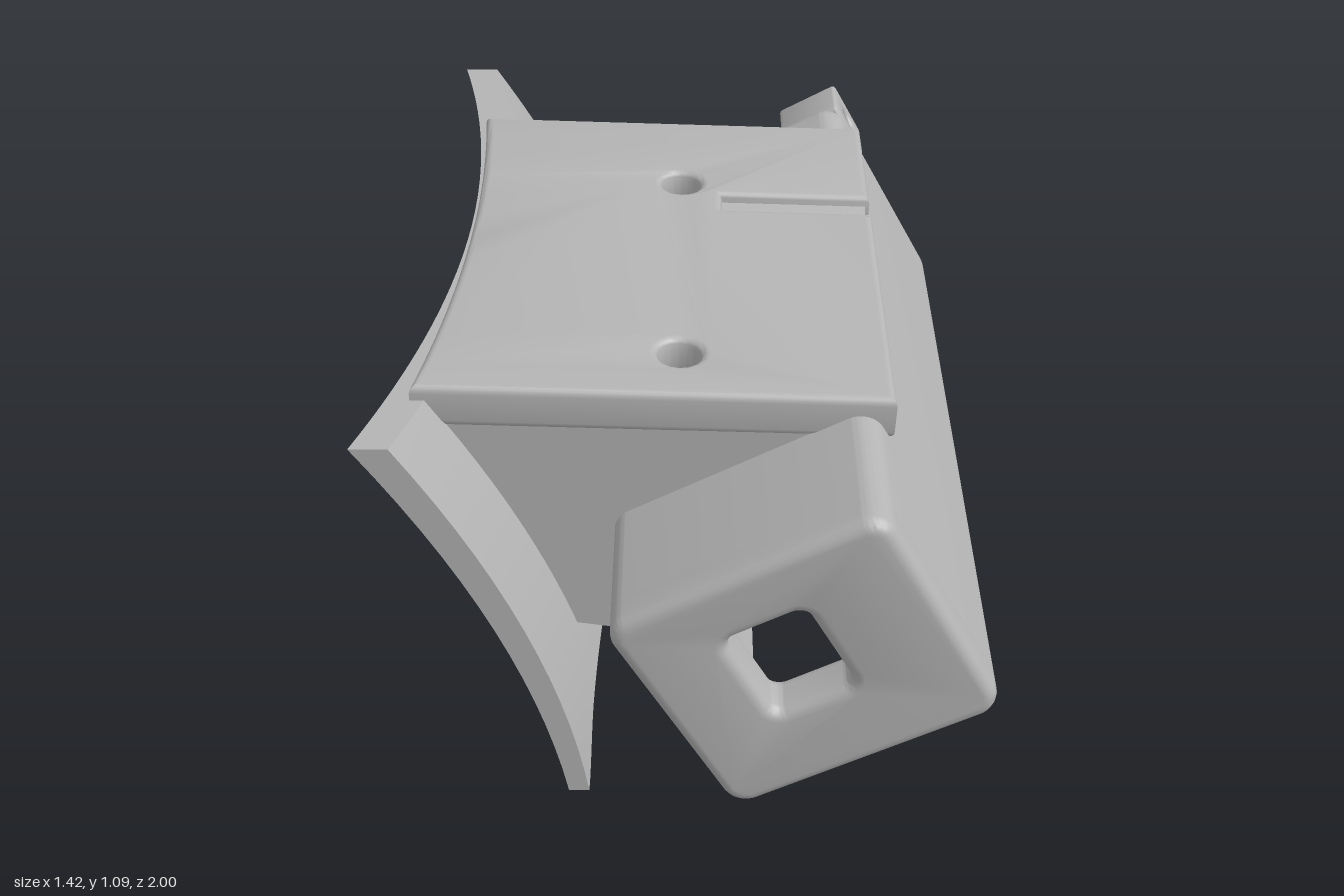
import * as THREE from 'three';
import { toCreasedNormals } from 'three/addons/utils/BufferGeometryUtils.js';

const grey = new THREE.MeshStandardMaterial({ color: 0xb4b4b4, side: THREE.DoubleSide });
grey.name = 'grey plastic';

function add(parent, name, geometry, crease = 0.6) {
  const mesh = new THREE.Mesh(toCreasedNormals(geometry, crease), grey);
  mesh.name = name;
  parent.add(mesh);
  return mesh;
}

// Rounded rectangle centred on (cx, cy)
function roundRect(Type, w, h, r, cx = 0, cy = 0) {
  const s = new Type(), x = w / 2, y = h / 2;
  s.absarc(cx + x - r, cy + y - r, r, 0, Math.PI / 2);
  s.absarc(cx - x + r, cy + y - r, r, Math.PI / 2, Math.PI);
  s.absarc(cx - x + r, cy - y + r, r, Math.PI, Math.PI * 1.5);
  s.absarc(cx + x - r, cy - y + r, r, Math.PI * 1.5, Math.PI * 2);
  s.closePath();
  return s;
}

// Extrusion whose bevel stays inside the outline and the total depth
function bevelled(shape, depth, b) {
  return new THREE.ExtrudeGeometry(shape, {
    depth: depth - 2 * b, bevelThickness: b, bevelSize: b, bevelOffset: -b,
    bevelSegments: 4, curveSegments: 8,
  }).translate(0, 0, b);
}

// Saddle surface of the clamp: slope over height plus bow along the length
const slope = (y) => -0.085 - 0.163 * y - 0.244 * y * y;
const bow = (z) => -0.168 * (z + 0.25) ** 2;

// Curved saddle shell with an arched lower edge
function saddleGeometry() {
  const arch = new THREE.SplineCurve([
    [-1, 0.28], [-0.85, 0.34], [-0.5, 0.41], [-0.1, 0.42], [0.25, 0.38],
    [0.5, 0.3], [0.68, 0.175], [0.8, 0.0],
  ].map(([z, y]) => new THREE.Vector2(z, y)));
  const rows = 36, n = 14, ring = 2 * (n + 1), pos = [], idx = [];
  for (let i = 0; i <= rows; i++) {
    const p = arch.getPoint(i / rows);
    for (let k = 0; k < ring; k++) {
      const inner = k > n, j = inner ? ring - 1 - k : k;
      const y = p.y + (1.05 - p.y) * j / n;
      pos.push(slope(y) + bow(p.x) + (inner ? 0.05 + 0.035 * y : 0), y, p.x);
    }
  }
  for (let i = 0; i < rows; i++) {
    for (let k = 0; k < ring; k++) {
      const a = i * ring + k, b = i * ring + (k + 1) % ring, c = b + ring, d = a + ring;
      idx.push(a, d, c, a, c, b);
    }
  }
  for (let j = 0; j < n; j++) {
    const q = [j, ring - 1 - j, ring - 2 - j, j + 1], e = rows * ring;
    idx.push(e + q[0], e + q[1], e + q[2], e + q[0], e + q[2], e + q[3]);
    idx.push(q[0], q[2], q[1], q[0], q[3], q[2]);
  }
  const g = new THREE.BufferGeometry();
  g.setAttribute('position', new THREE.Float32BufferAttribute(pos, 3));
  g.setIndex(idx);
  return g;
}

// Block joining the saddle to the tray; its left side follows the saddle
function blockGeometry() {
  const pts = [];
  for (let i = 0; i <= 8; i++) {
    const y = 1.0 - 0.61 * i / 8;
    pts.push([slope(y) + 0.04, y]);
  }
  pts.push([0.066, 0.336], [-0.129, 0.691], [0.389, 0.974], [0.42, 0.975]);
  const shape = new THREE.Shape(pts.map(([x, y]) => new THREE.Vector2(x, y)));
  const g = new THREE.ExtrudeGeometry(shape, { depth: 1.26, steps: 16, bevelEnabled: false });
  g.translate(0, 0, -0.645);
  const p = g.attributes.position;
  for (let i = 0; i < p.count; i++) {
    if (p.getX(i) < slope(p.getY(i)) + 0.06) p.setX(i, p.getX(i) + bow(p.getZ(i)));
  }
  return g;
}

// Top plate with two screw holes and a slot open to the right edge
function plateGeometry() {
  const pts = [];
  for (let i = 0; i <= 12; i++) {
    const z = 0.62 - 1.27 * i / 12;
    pts.push([-0.515 + 0.65 * bow(z), z]);
  }
  pts.push([0.485, -0.65], [0.485, -0.265], [0.105, -0.265], [0.105, -0.195],
    [0.485, -0.195], [0.485, 0.62]);
  const shape = new THREE.Shape(pts.map(([x, z]) => new THREE.Vector2(x, z)));
  for (const z of [-0.32, 0.455]) {
    shape.holes.push(new THREE.Path().absarc(0, z, 0.05, 0, Math.PI * 2));
  }
  return bevelled(shape, 0.11, 0.02).rotateX(Math.PI / 2);
}

// V-shaped floor of the slot
function grooveGeometry() {
  const pos = [];
  for (const x of [0.085, 0.475]) {
    pos.push(x, 0, -0.285, x, -0.07, -0.23, x, 0, -0.175);
  }
  const g = new THREE.BufferGeometry();
  g.setAttribute('position', new THREE.Float32BufferAttribute(pos, 3));
  g.setIndex([0, 1, 4, 0, 4, 3, 1, 2, 5, 1, 5, 4]);
  return g;
}

// Three walls of the tray, open below
function wallsShape(w, h, t) {
  const x = w / 2, y = h / 2, r = 0.06, s = new THREE.Shape();
  s.moveTo(-x + t, -y);
  s.lineTo(-x + t, y - t);
  s.lineTo(x - t, y - t);
  s.lineTo(x - t, -y);
  s.quadraticCurveTo(x, -y, x, -y + r);
  s.absarc(x - r, y - r, r, 0, Math.PI / 2);
  s.absarc(-x + r, y - r, r, Math.PI / 2, Math.PI);
  s.lineTo(-x, -y + r);
  s.quadraticCurveTo(-x, -y, -x + t, -y);
  return s;
}

export function createModel() {
  const model = new THREE.Group();
  model.name = 'clampMountedTray';

  add(model, 'saddle', saddleGeometry());
  add(model, 'block', blockGeometry());

  // Slightly sloping top plate
  const top = new THREE.Group();
  top.name = 'topPlate';
  top.position.y = 1.069;
  top.rotation.z = -0.03;
  add(top, 'plate', plateGeometry());
  add(top, 'slotGroove', grooveGeometry());
  model.add(top);

  // Tilted tray with open underside
  const tray = new THREE.Group();
  tray.name = 'tray';
  tray.position.set(0.28, 0.59, 0);
  tray.rotation.z = THREE.MathUtils.degToRad(28.7);
  const w = 0.683, h = 0.632;
  add(tray, 'trayWalls', new THREE.ExtrudeGeometry(wallsShape(w, h, 0.06), {
    depth: 1.78, bevelEnabled: false, curveSegments: 8,
  }).translate(0, 0, -0.815));

  // End walls with a rounded window each
  for (const [name, z] of [['frontEnd', 0.88], ['backEnd', -0.85]]) {
    const shape = roundRect(THREE.Shape, w, h, 0.06);
    shape.holes.push(roundRect(THREE.Path, 0.2, 0.25, 0.03, -0.021, 0.034));
    add(tray, name, bevelled(shape, 0.12, 0.03)).position.z = z;
  }

  // Lug with a cross hole at the back
  const lug = roundRect(THREE.Shape, 0.15, 0.177, 0.018);
  lug.holes.push(new THREE.Path().absarc(0, 0, 0.033, 0, Math.PI * 2));
  add(tray, 'lug', bevelled(lug, 0.177, 0.01).rotateY(Math.PI / 2))
    .position.set(0.16, 0.205, -0.925);
  model.add(tray);

  return model;
}
